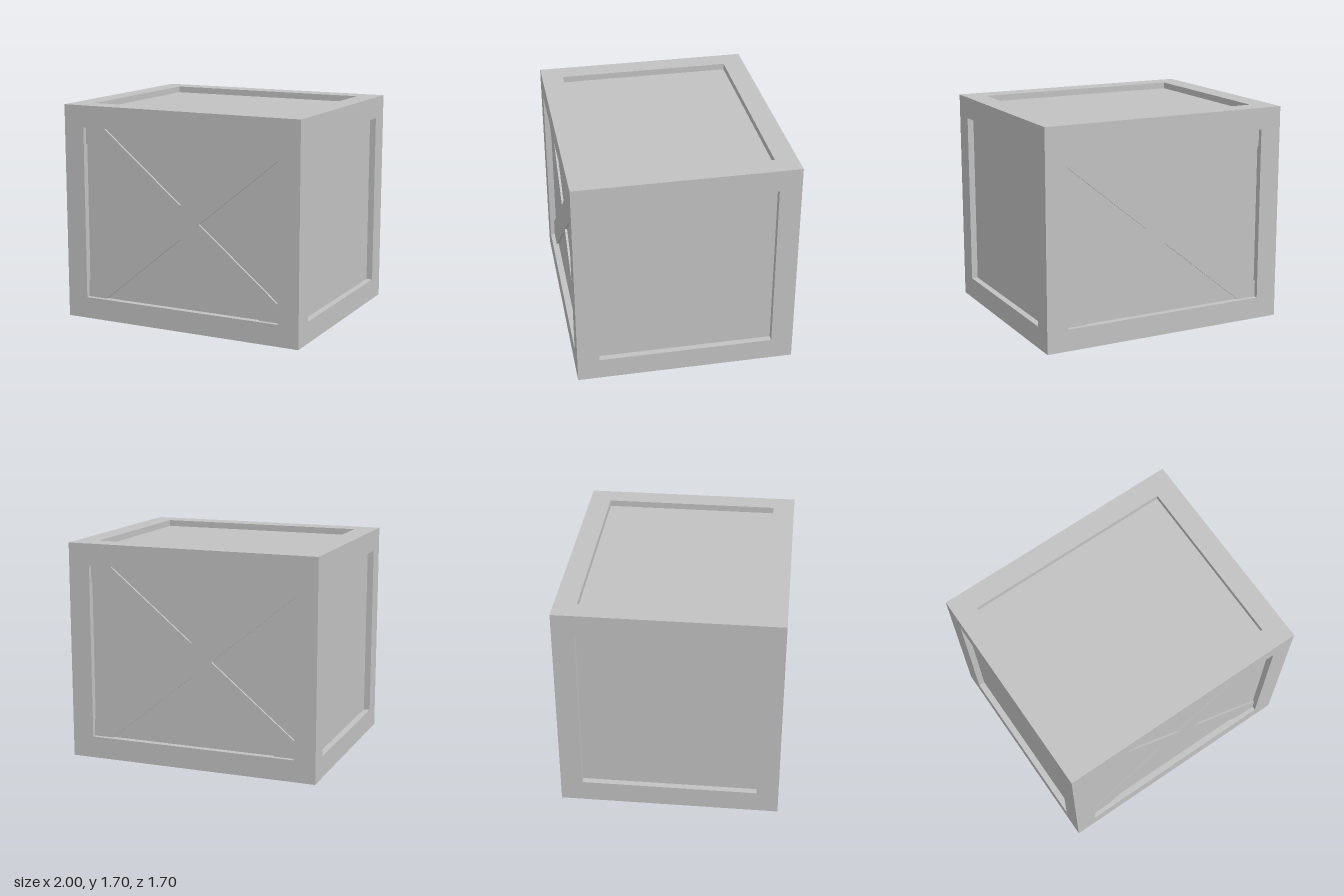
import * as THREE from 'three';

const W = 2, H = 1.7, D = 1.7;   // outer size
const BEAM = 0.17;               // frame beam thickness
const PANEL_INSET = 0.05;        // panels sit this far inside the frame
const BRACE_INSET = 0.033;       // face of the cross brace

export function createModel() {
  const crate = new THREE.Group();
  crate.name = 'crate';
  const grey = new THREE.MeshStandardMaterial({ color: 0xc2c2c2 });
  grey.name = 'crate grey';

  const add = (name, geometry, x, y, z) => {
    const mesh = new THREE.Mesh(geometry, grey);
    mesh.name = name;
    mesh.position.set(x, y, z);
    crate.add(mesh);
    return mesh;
  };

  // Inner box forms the six recessed panels
  add('panels', new THREE.BoxGeometry(W - 2 * PANEL_INSET, H - 2 * PANEL_INSET, D - 2 * PANEL_INSET), 0, H / 2, 0);

  // Twelve beams: posts run full height, rails fit between them
  const post = new THREE.BoxGeometry(BEAM, H, BEAM);
  const longRail = new THREE.BoxGeometry(W - 2 * BEAM, BEAM, BEAM);
  const sideRail = new THREE.BoxGeometry(BEAM, BEAM, D - 2 * BEAM);
  const px = (W - BEAM) / 2, py = (H - BEAM) / 2, pz = (D - BEAM) / 2;
  for (const a of [-1, 1]) {
    for (const b of [-1, 1]) {
      add('cornerPost', post, a * px, H / 2, b * pz);
      add('longRail', longRail, 0, H / 2 + a * py, b * pz);
      add('sideRail', sideRail, a * px, H / 2 + b * py, 0);
    }
  }

  // X-shaped brace running corner to corner of the front and back openings
  const w = W / 2 - BEAM, h = H / 2 - BEAM;
  const dx = 0.16, dy = dx * h / w;
  const cross = new THREE.Shape([
    [dx, 0], [w, h - dy], [w, h], [w - dx, h],
    [0, dy], [dx - w, h], [-w, h], [-w, h - dy],
    [-dx, 0], [-w, dy - h], [-w, -h], [dx - w, -h],
    [0, -dy], [w - dx, -h], [w, -h], [w, dy - h],
  ].map(([x, y]) => new THREE.Vector2(x, y)));
  const depth = 0.03;
  const brace = new THREE.ExtrudeGeometry(cross, { depth, bevelEnabled: false });
  const bz = D / 2 - BRACE_INSET - depth;
  add('frontBrace', brace, 0, H / 2, bz);
  add('backBrace', brace, 0, H / 2, -bz).rotation.y = Math.PI;

  return crate;
}
